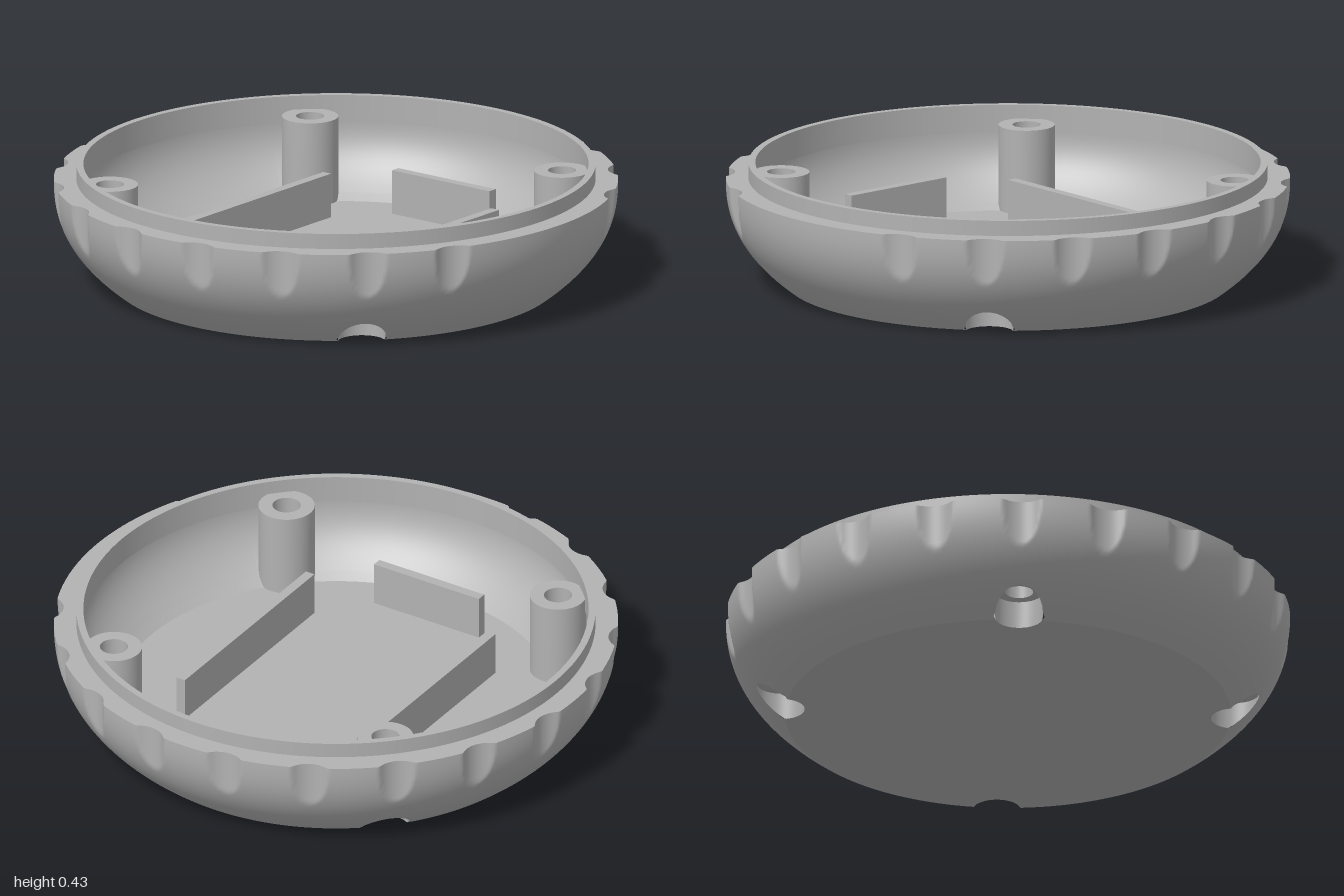
import * as THREE from 'three';

const COLUMNS = 720;
const FLOOR = 0.075, RIM = 0.375, LIP = 0.43, LIP_BASE = 0.33;
const LIP_IN = 0.895, LIP_OUT = 0.92;
const BOSS = 0.57, BOSS_R = 0.1, BOSS_TOP = 0.38;
const HOLE_R = 0.05, BORE_R = 0.085, BORE_TOP = 0.1;
const BOSS_D = Math.hypot(BOSS, BOSS);
const lerp = THREE.MathUtils.lerp;

// Bowl curve: radius grows from r0 at y0 to r1 at y1, flattening into the vertical
function bowlCurve(r0, r1, y0, y1, p) {
  return {
    radius: y => r1 - (r1 - r0) * Math.pow(Math.max(0, 1 - (y - y0) / (y1 - y0)), p),
    height: r => y1 - (y1 - y0) * Math.pow(Math.min(1, Math.max(0, (r1 - r) / (r1 - r0))), 1 / p),
  };
}
const outer = bowlCurve(0.79, 1, 0, RIM, 2.4);
const inner = bowlCurve(0.77, LIP_OUT, FLOOR, LIP_BASE, 2.2);

// Distances at which a ray at angle a enters and leaves a circle at (dist, 0);
// outside the circle both fall on the tangent point
function cross(a, dist, rad) {
  const s = dist * Math.sin(a);
  const root = rad * rad - s * s;
  if (root <= 0 || Math.cos(a) < 0) {
    const t = Math.sqrt(dist * dist - rad * rad);
    return [t, t];
  }
  return [dist * Math.cos(a) - Math.sqrt(root), dist * Math.cos(a) + Math.sqrt(root)];
}

// Crossing of the nearest of the four screw bosses
function bossCross(a, rad) {
  const q = Math.PI / 2;
  const local = a - (Math.floor(a / q) * q + q / 2);
  return cross(local, BOSS_D, rad);
}

// Grip scallops every 18 degrees, leaving out the two at the front
function gripRadius(a) {
  const step = Math.PI / 10;
  const middle = (Math.floor(a / step) + 0.5) * step;
  if (Math.abs(middle - Math.PI / 2) < step * 0.6) return 1;
  const local = a - middle;
  const root = 0.09 * 0.09 - Math.pow(1.06 * Math.sin(local), 2);
  return root > 0 ? Math.min(1, 1.06 * Math.cos(local) - Math.sqrt(root)) : 1;
}

// Closed surface of revolution whose [radius, height] may depend on the angle
function revolve(columns, rows, point) {
  const pos = [], index = [];
  for (let i = 0; i < columns; i++) {
    const a = (i / columns) * Math.PI * 2;
    for (let j = 0; j <= rows; j++) {
      const [r, y] = point(a, j / rows);
      pos.push(r * Math.cos(a), y, r * Math.sin(a));
    }
  }
  const n = rows + 1;
  for (let i = 0; i < columns; i++) {
    const k = ((i + 1) % columns) * n;
    for (let j = 0; j < rows; j++) {
      const a = i * n + j, b = k + j;
      index.push(a, a + 1, b, b, a + 1, b + 1);
    }
  }
  const g = new THREE.BufferGeometry();
  g.setAttribute('position', new THREE.Float32BufferAttribute(pos, 3));
  g.setIndex(index);
  g.computeVertexNormals();
  return g;
}

export function createModel() {
  const model = new THREE.Group();
  model.name = 'roundCaseHalf';
  const plastic = new THREE.MeshStandardMaterial({ color: 0xb2b2b2 });
  plastic.name = 'grey plastic';

  const add = (parent, name, geometry) => {
    const mesh = new THREE.Mesh(geometry, plastic);
    mesh.name = name;
    parent.add(mesh);
    return mesh;
  };
  const skin = (name, rows, point) => add(model, name, revolve(COLUMNS, rows, point));

  // Underside and outer shell, opened around the screw recesses
  skin('underside', 1, (a, t) => [t * Math.min(0.79, bossCross(a, BORE_R)[0]), 0]);
  skin('shellFoot', 2, (a, t) => {
    const y = t * outer.height(Math.max(0.79, bossCross(a, BORE_R)[0]));
    return [Math.min(outer.radius(y), Math.max(0.79, bossCross(a, BORE_R)[0])), y];
  });
  skin('shellWall', 28, (a, t) => {
    const y = lerp(outer.height(bossCross(a, BORE_R)[1]), RIM, t);
    return [Math.min(outer.radius(y), gripRadius(a)), y];
  });

  // Rim ledge and raised lip
  skin('rimLedge', 1, (a, t) => [lerp(gripRadius(a), LIP_OUT, t), RIM]);
  skin('lipOutside', 1, (a, t) => [LIP_OUT, lerp(RIM, LIP, t)]);
  skin('lipTop', 1, (a, t) => [lerp(LIP_OUT, LIP_IN, t), LIP]);
  skin('lipInside', 1, (a, t) => [LIP_IN, lerp(LIP, LIP_BASE, t)]);
  skin('lipUnderside', 1, (a, t) => [lerp(LIP_IN, LIP_OUT, t), LIP_BASE]);

  // Inner bowl and floor, opened where the bosses stand
  const clip = BOSS_R - 0.005;
  skin('bowlWall', 14, (a, t) => {
    const y = lerp(LIP_BASE, inner.height(bossCross(a, clip)[1]), t);
    return [inner.radius(y), y];
  });
  skin('bowlFoot', 2, (a, t) => {
    const y = lerp(inner.height(Math.max(0.77, bossCross(a, clip)[0])), FLOOR, t);
    return [inner.radius(y), y];
  });
  skin('floor', 1, (a, t) => [(1 - t) * Math.min(0.77, bossCross(a, clip)[0]), FLOOR]);

  // Four screw bosses with through holes and wider recesses below
  for (const sx of [-1, 1]) for (const sz of [-1, 1]) {
    const boss = new THREE.Group();
    boss.name = 'screwBoss';
    boss.position.set(sx * BOSS, 0, sz * BOSS);
    model.add(boss);
    const shellHeight = (a, r) =>
      outer.height(Math.hypot(sx * BOSS + r * Math.cos(a), sz * BOSS + r * Math.sin(a)));
    const part = (name, point) => add(boss, name, revolve(64, 1, point));
    part('bossWall', (a, t) =>
      [BOSS_R, lerp(Math.max(FLOOR, shellHeight(a, BOSS_R) + 0.01), BOSS_TOP, t)]);
    part('bossTop', (a, t) => [lerp(BOSS_R, HOLE_R, t), BOSS_TOP]);
    part('screwHole', (a, t) => [HOLE_R, lerp(BOSS_TOP, BORE_TOP, t)]);
    part('recessCeiling', (a, t) => [lerp(HOLE_R, BORE_R, t), BORE_TOP]);
    part('recessWall', (a, t) => [BORE_R, lerp(BORE_TOP, shellHeight(a, BORE_R), t)]);
  }

  // Upright ribs framing the middle of the floor
  const ribHeight = 0.16;
  for (const s of [-1, 1]) {
    add(model, 'longRib', new THREE.BoxGeometry(0.855, ribHeight, 0.036))
      .position.set(0, FLOOR + ribHeight / 2, s * 0.38);
    add(model, 'shortRib', new THREE.BoxGeometry(0.036, ribHeight, 0.44))
      .position.set(s * 0.615, FLOOR + ribHeight / 2, 0);
  }
  return model;
}
